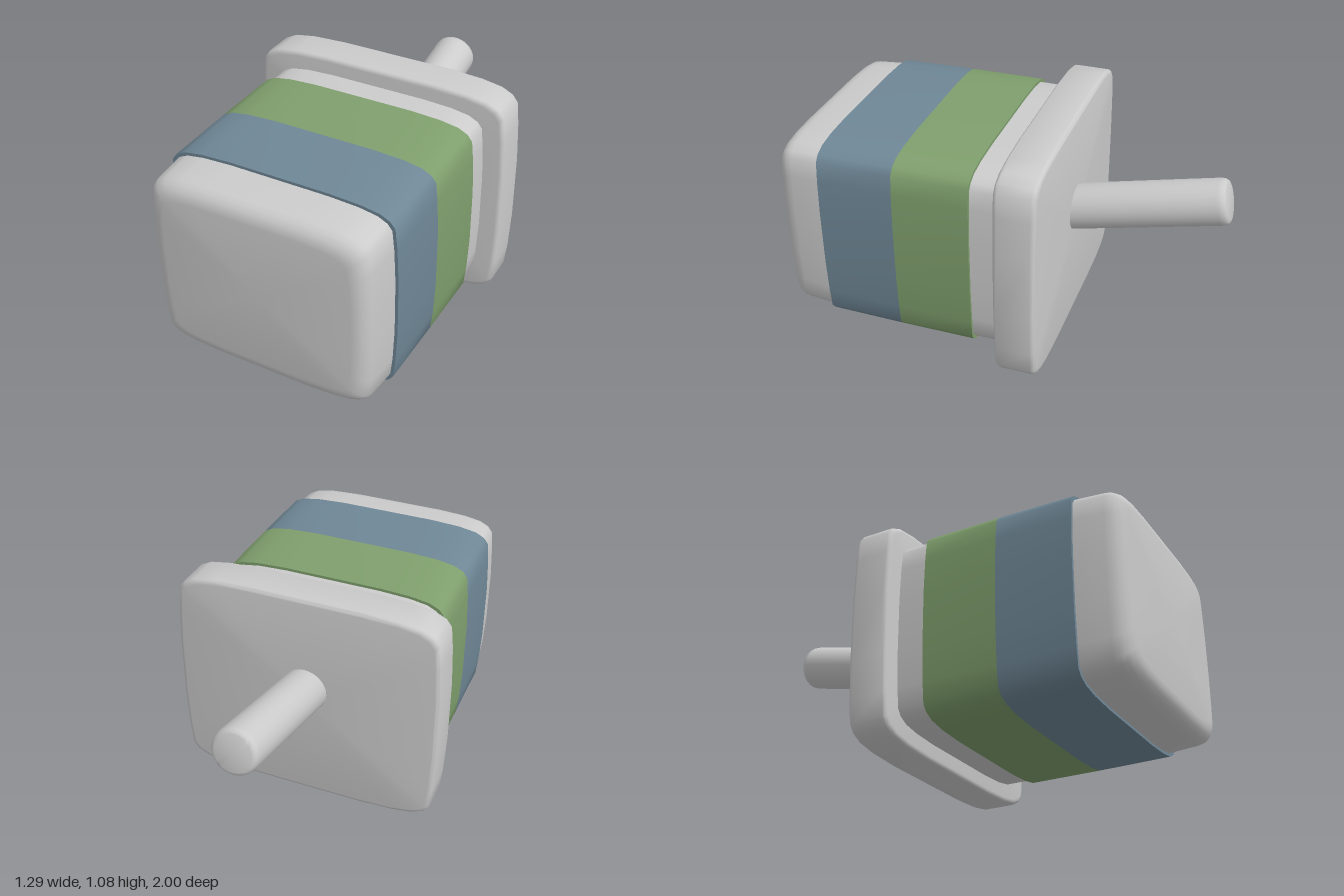
import * as THREE from 'three';
import { toCreasedNormals } from 'three/addons/utils/BufferGeometryUtils.js';

const CENTER_Y = 0.543;

// One quarter of the softly bulged rectangular outline, in unit half-sizes
const QUARTER = [[1, 0.29], [0.986, 0.642], [0.968, 0.845], [0.927, 0.908], [0.845, 0.955], [0.69, 0.985], [0.43, 1]];
const flip = (pts, sx, sy) => pts.map(([x, y]) => [x * sx, y * sy]);
const back = [...QUARTER].reverse();
const OUTLINE = [...QUARTER, ...flip(back, -1, 1), ...flip(QUARTER, -1, -1), ...flip(back, 1, -1)];

// Skin a list of [z, halfWidth, halfHeight] sections, ordered front to back
function loft(sections) {
  const n = OUTLINE.length;
  const pos = [];
  const index = [];
  for (const [z, w, h] of sections) {
    for (const [x, y] of OUTLINE) pos.push(x * w, CENTER_Y + y * h, z);
  }
  for (let s = 0; s < sections.length - 1; s++) {
    for (let k = 0; k < n; k++) {
      const a = s * n + k, b = s * n + (k + 1) % n;
      const d = a + n, c = b + n;
      if (sections[s + 1][1] > 0) index.push(a, d, c);
      if (sections[s][1] > 0) index.push(a, c, b);
    }
  }
  const geo = new THREE.BufferGeometry();
  geo.setAttribute('position', new THREE.Float32BufferAttribute(pos, 3));
  geo.setIndex(index);
  return toCreasedNormals(geo, 0.8);
}

// Quarter-round edge sections; dir = 1 for a front edge, -1 for a back edge
function fillet(z, w, h, rz, rs, dir, steps = 5) {
  const out = [];
  for (let i = 0; i <= steps; i++) {
    const t = (i / steps) * Math.PI / 2;
    const inset = rs * (1 - Math.sin(t));
    out.push([z - dir * rz * (1 - Math.cos(t)), w - inset, h - inset]);
  }
  return dir > 0 ? out : out.reverse();
}

export function createModel() {
  const group = new THREE.Group();
  const add = (name, geo, color = 0xcccccc) => {
    const mesh = new THREE.Mesh(geo, new THREE.MeshStandardMaterial({ color }));
    mesh.name = name;
    group.add(mesh);
    return mesh;
  };

  // Main block with a rounded front
  add('body', loft([
    [1, 0, 0],
    ...fillet(1, 0.53, 0.446, 0.08, 0.08, 1),
    [0.78, 0.538, 0.454],
    [0.06, 0.545, 0.458],
    [-0.1, 0.545, 0.458],
  ]));

  // Two coloured sleeves wrapped around the block
  add('frontBand', loft([
    [0.78, 0.52, 0.435], [0.78, 0.552, 0.467], [0.42, 0.556, 0.471],
  ]), 0x6f8796);
  add('rearBand', loft([
    [0.42, 0.556, 0.471], [0.06, 0.558, 0.471], [0.06, 0.52, 0.435],
  ]), 0x7f9f6d);

  // Wide plate behind the block
  add('backPlate', loft([
    [-0.077, 0, 0],
    ...fillet(-0.077, 0.644, 0.542, 0.022, 0.022, 1, 4),
    ...fillet(-0.27, 0.644, 0.542, 0.022, 0.022, -1, 4),
    [-0.27, 0, 0],
  ]));

  // Tilted rod with a softened tip
  const start = new THREE.Vector3(0, 0.586, -0.2);
  const end = new THREE.Vector3(0, 0.771, -0.977);
  const length = start.distanceTo(end);
  const profile = [[0, 0], [0.108, 0], [0.108, length - 0.035], [0.104, length - 0.016], [0.096, length - 0.004], [0.085, length], [0, length]]
    .map(([r, y]) => new THREE.Vector2(r, y));
  const rod = add('handle', toCreasedNormals(new THREE.LatheGeometry(profile, 32), 0.7));
  rod.position.copy(start);
  rod.quaternion.setFromUnitVectors(new THREE.Vector3(0, 1, 0), end.sub(start).normalize());

  return group;
}
